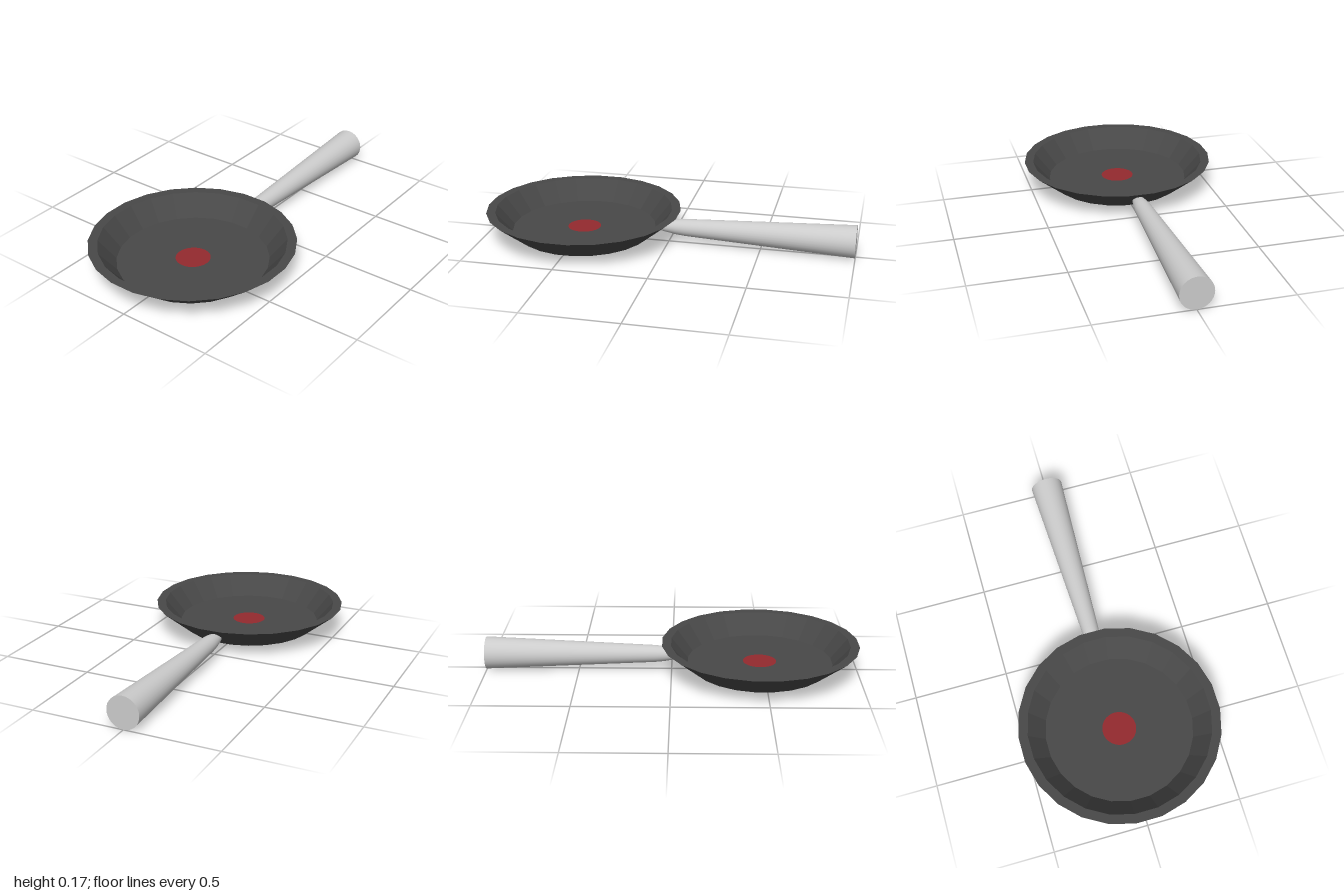
import * as THREE from 'three';

const SIDES = 24;
const PAN_X = -0.475;
const HANDLE_Y = 0.088;

function lathe(points, segments, phi = 0) {
  return new THREE.LatheGeometry(points.map(([r, y]) => new THREE.Vector2(r, y)), segments, phi);
}

function addMesh(parent, name, geometry, material) {
  const mesh = new THREE.Mesh(geometry, material);
  mesh.name = name;
  parent.add(mesh);
  return mesh;
}

export function createModel() {
  const model = new THREE.Group();
  model.name = 'fryingPan';
  const dark = new THREE.MeshStandardMaterial({ color: 0x484848, flatShading: true });
  const red = new THREE.MeshStandardMaterial({ color: 0x932a2e });
  const grey = new THREE.MeshStandardMaterial({ color: 0xcccccc });

  // Bowl: flared faceted wall, flat rim and floor; radii are measured across the flats
  const flat = Math.cos(Math.PI / SIDES);
  const profile = [[0, 0.025], [0.365, 0.025], [0.525, 0.155], [0.477, 0.155], [0.388, 0.047], [0, 0.047]]
    .map(([r, y]) => [r / flat, y]);
  addMesh(model, 'bowl', lathe(profile, SIDES, Math.PI / SIDES), dark).position.x = PAN_X;

  // Round heat spot on the floor
  const spot = addMesh(model, 'heatSpot', new THREE.CircleGeometry(0.09, 32).rotateX(-Math.PI / 2), red);
  spot.position.set(PAN_X, 0.049, 0);

  // Handle: round taper whose narrow tip is trimmed to sit inside the sloping wall
  const handle = new THREE.Group();
  handle.name = 'handle';
  model.add(handle);
  const taper = [[0, -0.065], [0.015, -0.062], [0.023, -0.05], [0.029, -0.03], [0.034, 0],
    [0.041, 0.04], [0.046, 0.09], [0.087, 1]];
  const shaft = lathe(taper, 32).rotateZ(-Math.PI / 2).translate(0, HANDLE_Y, 0);
  const p = shaft.attributes.position;
  for (let i = 0; i < p.count; i++) {
    const wallX = PAN_X + 0.365 + (p.getY(i) - 0.025) * (0.16 / 0.13);
    p.setX(i, Math.max(p.getX(i), wallX - 0.008));
  }
  shaft.computeBoundingSphere();
  addMesh(handle, 'handleShaft', shaft, grey);

  // Flat end of the handle
  const cap = new THREE.CircleGeometry(0.087, 32).rotateY(Math.PI / 2);
  addMesh(handle, 'handleEnd', cap, grey).position.set(1, HANDLE_Y, 0);

  return model;
}
